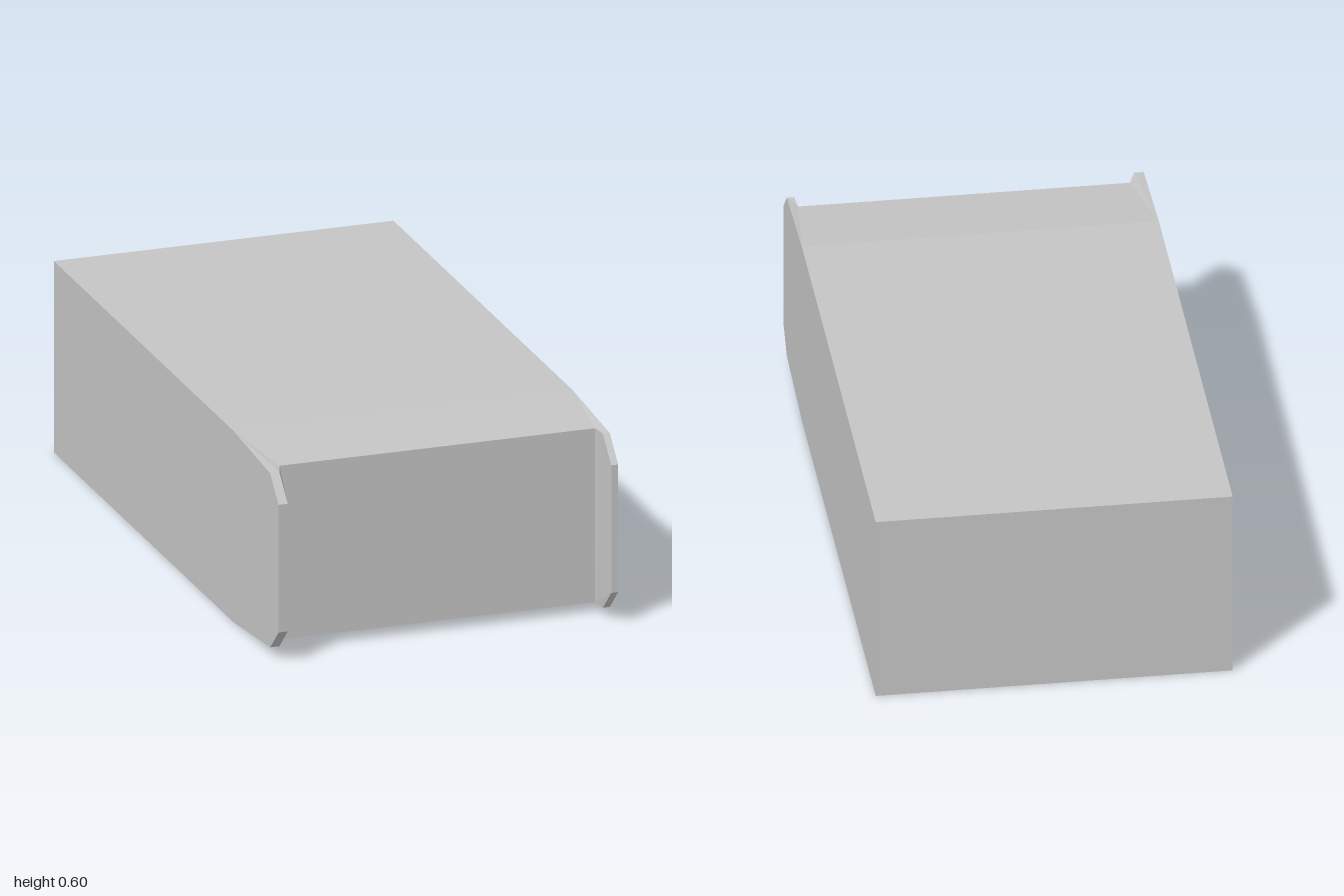
import * as THREE from 'three';

const W = 0.536, H = 0.604;

// side outline as [z, y], rear bottom first
const OUTLINE = [[-1, 0], [0.6, 0], [0.925, 0.03], [1, 0.102], [1, 0.505], [0.925, 0.579], [0.6, H], [-1, H]];

// front panel position and the two slightly different front lips
const PANEL = { z: 0.87, bottom: 0.03, top: 0.579 };
const SIDES = [
  { name: 'right', sign: -1, lip: 0.507, panel: 0.487 },
  { name: 'left', sign: 1, lip: 0.514, panel: 0.509 },
];

// flat faces, each a convex loop of corners
function faces(name, loops, material) {
  const positions = [];
  for (const loop of loops) {
    for (let i = 1; i < loop.length - 1; i++) {
      positions.push(...loop[0], ...loop[i], ...loop[i + 1]);
    }
  }
  const geometry = new THREE.BufferGeometry();
  geometry.setAttribute('position', new THREE.Float32BufferAttribute(positions, 3));
  geometry.computeVertexNormals();
  const mesh = new THREE.Mesh(geometry, material);
  mesh.name = name;
  return mesh;
}

export function createModel() {
  const group = new THREE.Group();
  group.name = 'openBox';
  const grey = new THREE.MeshStandardMaterial({ color: 0xc4c4c4, side: THREE.DoubleSide });
  grey.name = 'grey';
  const { z, bottom, top } = PANEL;
  const [pr, pl] = [-SIDES[0].panel, SIDES[1].panel];

  // top with a slope down to the front panel
  group.add(faces('top', [
    [[-W, H, -1], [-W, H, 0.6], [W, H, 0.6], [W, H, -1]],
    [[-W, H, 0.6], [pr, top, z], [pl, top, z], [W, H, 0.6]],
  ], grey));

  // back and recessed front; the underside stays open
  group.add(faces('backWall', [[[W, 0, -1], [-W, 0, -1], [-W, H, -1], [W, H, -1]]], grey));
  group.add(faces('frontPanel', [[[pr, bottom, z], [pl, bottom, z], [pl, top, z], [pr, top, z]]], grey));

  for (const { name, sign, lip, panel } of SIDES) {
    // loops are written for +x and reversed when mirrored
    const place = (loop) => {
      const points = loop.map(([x, y, pz]) => [x * sign, y, pz]);
      return sign > 0 ? points : points.reverse();
    };
    const wall = OUTLINE.map(([pz, y]) => [W, y, pz]).reverse();
    group.add(faces(name + 'Wall', [place(wall)], grey));

    // lip: narrow front edge, bevels, inner face and end caps
    const rim = OUTLINE.slice(2, 6);
    const loops = [];
    for (let i = 0; i < rim.length - 1; i++) {
      const [[z0, y0], [z1, y1]] = [rim[i], rim[i + 1]];
      loops.push([[lip, y0, z0], [W, y0, z0], [W, y1, z1], [lip, y1, z1]]);
    }
    loops.push([[panel, bottom, z], ...rim.map(([pz, y]) => [lip, y, pz]), [panel, top, z]]);
    loops.push([[panel, bottom, z], [W, bottom, 0.925], [lip, bottom, 0.925]]);
    loops.push([[panel, top, z], [lip, top, 0.925], [W, top, 0.925], [W, H, 0.6]]);
    group.add(faces(name + 'Lip', loops.map(place), grey));
  }
  return group;
}
